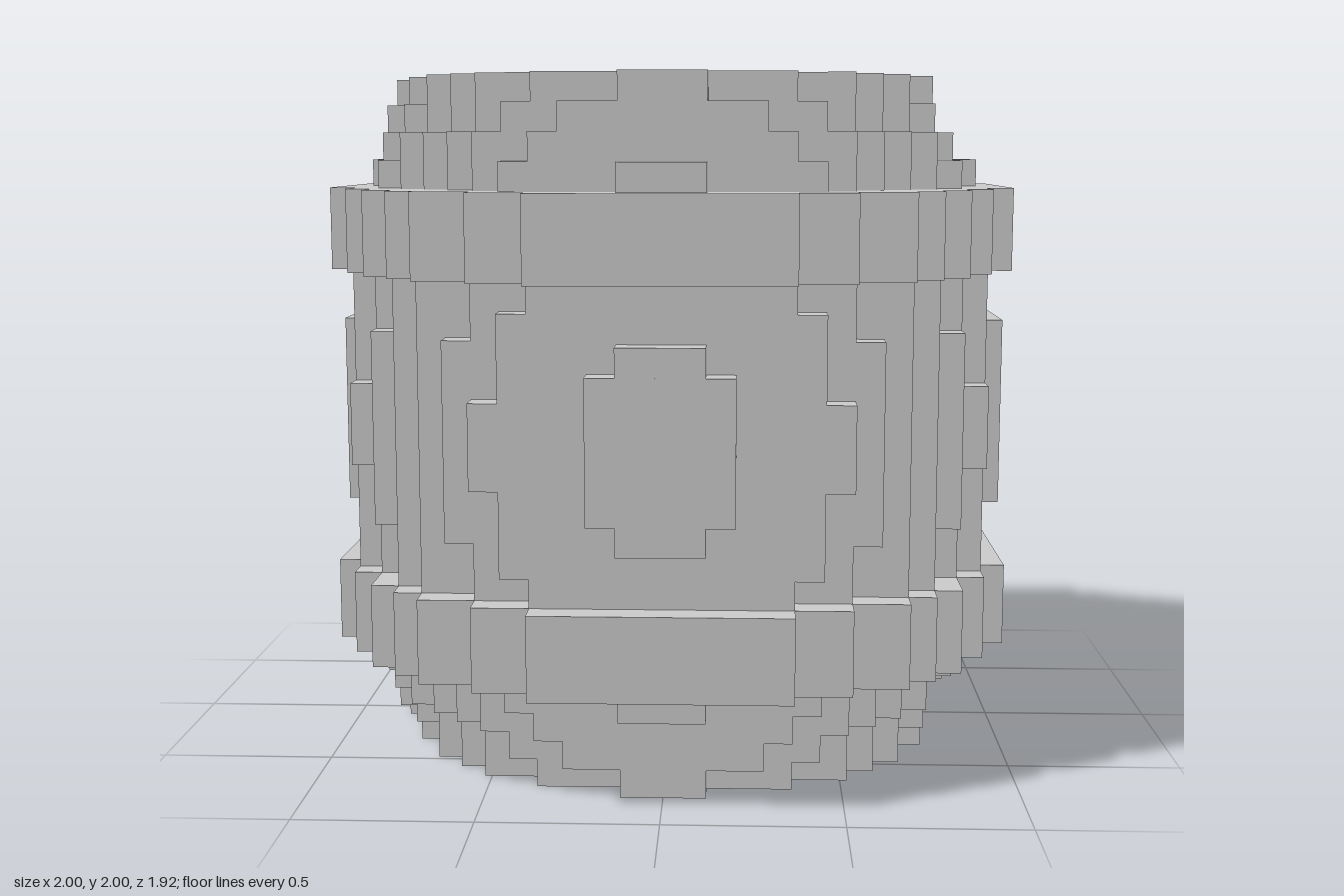
import * as THREE from 'three';

const U = 0.08; // edge of one block

export function createModel() {
  const group = new THREE.Group();
  const material = new THREE.MeshStandardMaterial({ color: 0xcccccc, flatShading: true });

  function add(name, geometry) {
    const mesh = new THREE.Mesh(geometry, material);
    mesh.name = name;
    group.add(mesh);
    return mesh;
  }

  // Stepped oval slab: rows of blocks inside an ellipse, clipped left, right and in depth
  function slab(name, from, to, size, rows, maxRight, maxLeft) {
    const right = [], left = [];
    for (let k = -rows; k < rows; k++) {
      const rest = size - ((k + 0.5) / 12) ** 2;
      if (rest < 0) continue;
      const n = Math.floor(12.5 * Math.sqrt(rest));
      const r = (Math.min(n, maxRight) + 0.5) * U;
      const l = -(Math.min(n, maxLeft) + 0.5) * U;
      for (const z of [k * U, (k + 1) * U]) {
        right.push(new THREE.Vector2(r, z));
        left.unshift(new THREE.Vector2(l, z));
      }
    }
    // keep only the true corners
    const all = [...right, ...left];
    const corners = all.filter((p, i) => {
      const a = all[(i + all.length - 1) % all.length], b = all[(i + 1) % all.length];
      return Math.abs((p.x - a.x) * (b.y - p.y) - (p.y - a.y) * (b.x - p.x)) > 1e-9;
    });
    const geometry = new THREE.ExtrudeGeometry(new THREE.Shape(corners), {
      depth: (to - from) * U, bevelEnabled: false,
    });
    geometry.rotateX(-Math.PI / 2);
    geometry.translate(0, from * U, 0);
    add(name, geometry);
  }

  // Box given by its limits
  function block(name, x0, x1, y0, y1, z0, z1) {
    const geometry = new THREE.BoxGeometry(x1 - x0, y1 - y0, z1 - z0);
    geometry.translate((x0 + x1) / 2, (y0 + y1) / 2, (z0 + z1) / 2);
    add(name, geometry);
  }

  // Bulging middle of the barrel
  slab('bodyCentre', 11, 14, 1.0, 11, 11, 11);

  // Layers repeated above and below the middle:
  // name, first and last layer, size, depth rows, right and left limits
  const layers = [
    ['body', 14, 15, 0.98, 11, 11, 11],
    ['body', 15, 16, 0.95, 11, 11, 11],
    ['body', 16, 17, 0.928, 11, 11, 11],
    ['body', 17, 18, 0.918, 11, 11, 11],
    ['hoop', 18, 21, 1.05, 12, 12, 12],
    ['end', 21, 22, 0.79, 10, 10, 10],
    ['end', 22, 23, 0.735, 10, 9, 10],
    ['end', 23, 24, 0.7, 10, 9, 10],
    ['end', 24, 25, 0.645, 10, 9, 10],
  ];
  for (const [name, a, b, ...rest] of layers) {
    slab(name + 'Upper', a, b, ...rest);
    slab(name + 'Lower', 25 - b, 25 - a, ...rest);
  }

  for (const s of [-1, 1]) {
    const span = (a, b) => (s > 0 ? [a, b] : [-b, -a]);
    // Raised panels on front, back and sides
    block('facePanel', -0.2, 0.2, 0.8, 1.2, ...span(0.88, 0.96));
    for (const y of [0.72, 1.2]) block('facePanelEnd', -0.12, 0.12, y, y + 0.08, ...span(0.88, 0.96));
    block('sidePanel', ...span(0.92, 1), 0.72, 1.28, -0.16, 0.16);
    // Small tabs next to the hoops
    for (const y of [0.24, 1.68]) {
      block('faceTab', -0.12, 0.12, y, y + 0.08, ...span(0.8, 0.88));
      block('sideTab', ...span(0.84, 0.92), y, y + 0.08, -0.08, 0.08);
    }
  }
  for (const y of [0.16, 1.76]) block('sideStep', 0.76, 0.84, y, y + 0.08, -0.16, 0.16);

  return group;
}
